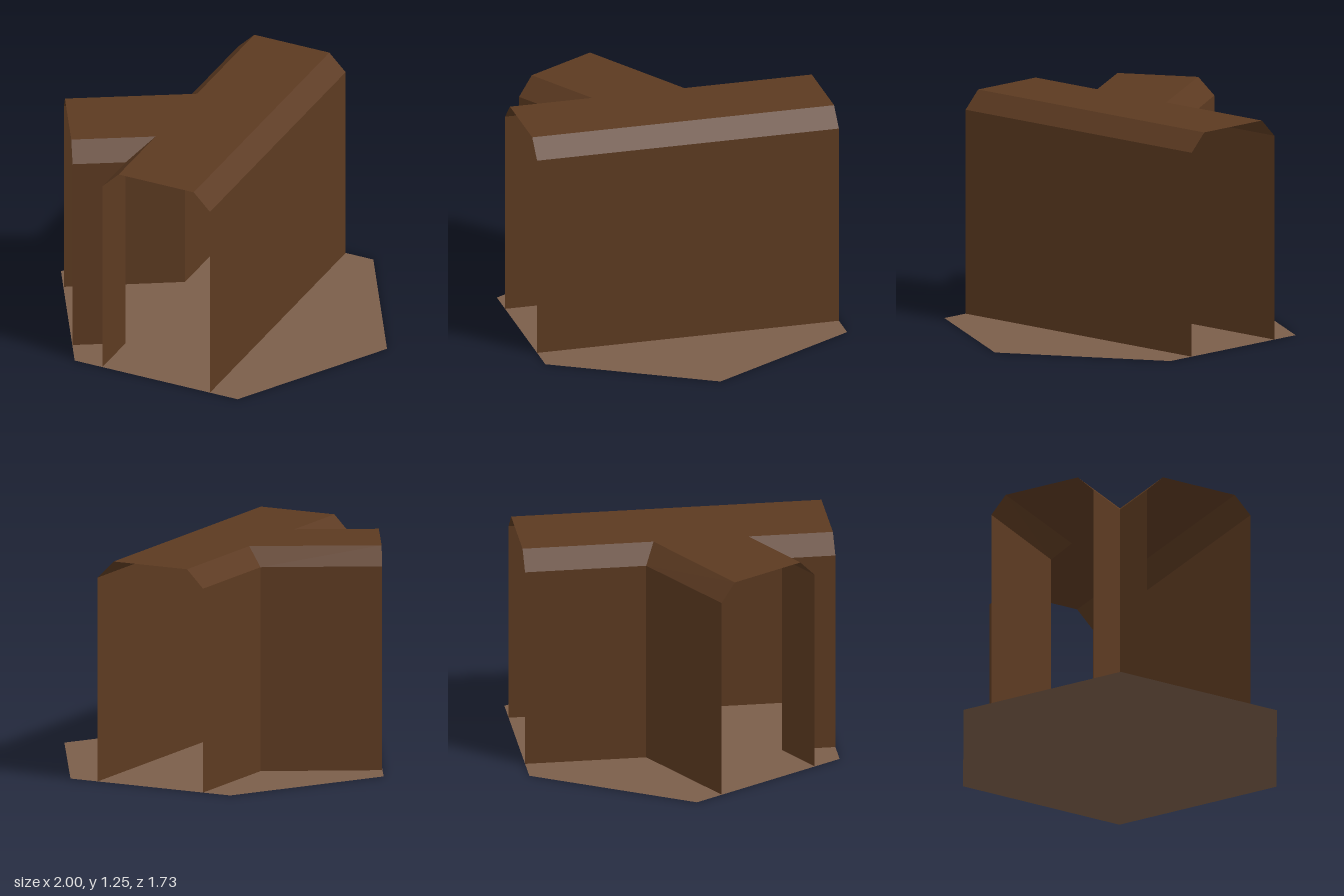
import * as THREE from 'three';

const WALL_TOP = 1.15, ROOF = 1.25, EDGE = 0.866;

// Each side of the hollow T passage: wall line and roof-edge line as [x, z], outside on the right.
const sides = [
  { name: 'straightSide',
    wall: [[0.33, EDGE], [0.33, -EDGE]],
    roof: [[0.23, EDGE], [0.23, -EDGE]] },
  { name: 'branchBackSide',
    wall: [[-0.33, -EDGE], [-0.33, -0.19], [-0.91, 0.15]],
    roof: [[-0.23, -EDGE], [-0.23, -0.135], [-0.865, 0.23]] },
  { name: 'branchFrontSide',
    wall: [[-0.585, 0.715], [-0.33, 0.568], [-0.33, EDGE]],
    roof: [[-0.635, 0.628], [-0.23, 0.395], [-0.23, EDGE]] },
];

// Flat-faced strip between a lower and an upper line
function strip(lower, y0, upper, y1) {
  const pos = [];
  for (let i = 0; i < lower.length - 1; i++) {
    const a = [lower[i][0], y0, lower[i][1]];
    const b = [lower[i + 1][0], y0, lower[i + 1][1]];
    const c = [upper[i + 1][0], y1, upper[i + 1][1]];
    const d = [upper[i][0], y1, upper[i][1]];
    pos.push(...a, ...b, ...c, ...a, ...c, ...d);
  }
  const geo = new THREE.BufferGeometry();
  geo.setAttribute('position', new THREE.Float32BufferAttribute(pos, 3));
  geo.computeVertexNormals();
  return geo;
}

// Horizontal, upward-facing polygon from [x, z] points
function slab(points, y) {
  const shape = new THREE.Shape(points.map(([x, z]) => new THREE.Vector2(x, -z)));
  return new THREE.ShapeGeometry(shape).rotateX(-Math.PI / 2).translate(0, y, 0);
}

export function createModel() {
  const group = new THREE.Group();
  const wood = new THREE.MeshStandardMaterial({ color: 0x5c3a21, side: THREE.DoubleSide });
  wood.name = 'dark brown';
  const earth = new THREE.MeshStandardMaterial({ color: 0x7b5e4a, side: THREE.DoubleSide });
  earth.name = 'light brown';

  const add = (name, geo, mat) => {
    const mesh = new THREE.Mesh(geo, mat);
    mesh.name = name;
    group.add(mesh);
  };

  // Hexagonal ground tile
  const hexagon = Array.from({ length: 6 }, (_, i) => {
    const a = (i * Math.PI) / 3;
    return [Math.cos(a), Math.sin(a)];
  });
  add('groundTile', slab(hexagon, 0), earth);

  // Upright walls and sloped shoulders, open at the tile edges
  for (const { name, wall, roof } of sides) {
    add(name + 'Wall', strip(wall, 0, wall, WALL_TOP), wood);
    add(name + 'Bevel', strip(wall, WALL_TOP, roof, ROOF), wood);
  }

  // Flat T-shaped roof joining the roof edges
  add('roof', slab(sides.flatMap((s) => s.roof), ROOF), wood);

  return group;
}
